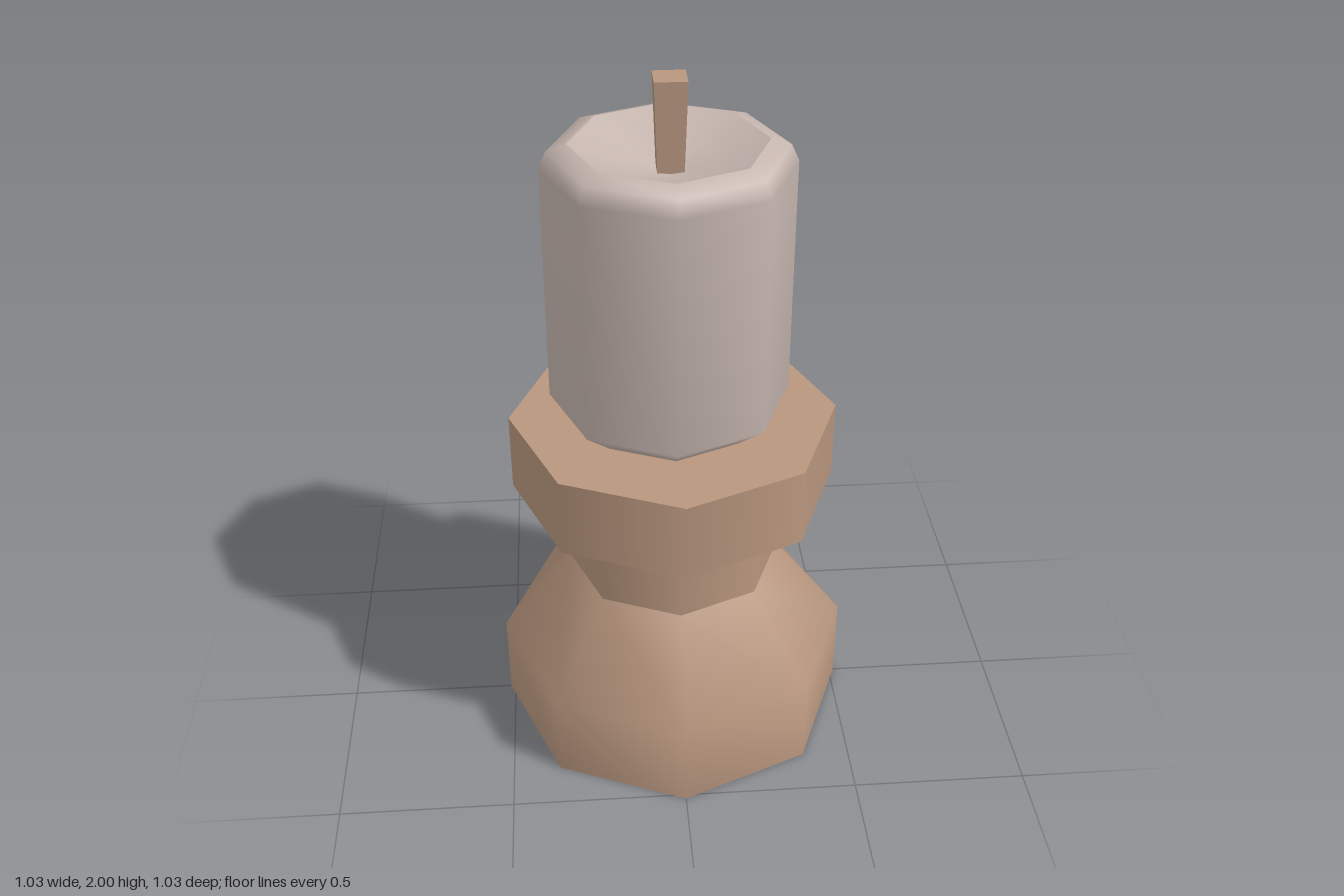
import * as THREE from 'three';
import { mergeGeometries } from 'three/addons/utils/BufferGeometryUtils.js';

const SIDES = 8;

// Octagonal turned part; each profile strip is smooth, with sharp edges between strips
function turned(name, material, strips) {
  const parts = strips.map(strip =>
    new THREE.LatheGeometry(strip.map(([r, y]) => new THREE.Vector2(r, y)), SIDES));
  const mesh = new THREE.Mesh(mergeGeometries(parts), material);
  mesh.name = name;
  return mesh;
}

export function createModel() {
  const wood = new THREE.MeshStandardMaterial({ color: 0xb8967e });
  wood.name = 'wood';
  const wax = new THREE.MeshStandardMaterial({ color: 0xc6b6af });
  wax.name = 'wax';

  const model = new THREE.Group();
  model.name = 'candleAndHolder';

  // Holder: foot with sloping shoulder, neck, and collar
  model.add(turned('foot', wood, [
    [[0, 0], [0.515, 0]],
    [[0.515, 0], [0.515, 0.26], [0.31, 0.52]],
  ]));
  model.add(turned('neck', wood, [[[0.31, 0.52], [0.31, 0.78]]]));
  model.add(turned('collar', wood, [
    [[0.31, 0.78], [0.465, 0.78]],
    [[0.465, 0.78], [0.465, 1.01]],
    [[0.465, 1.01], [0, 1.01]],
  ]));

  // Candle: rounded wax body with a hollow melted top
  const candle = new THREE.Group();
  candle.name = 'candle';
  candle.position.x = -0.01;
  candle.add(turned('waxBody', wax, [
    [[0.25, 1.012], [0.336, 1.085], [0.336, 1.765], [0.315, 1.81], [0.262, 1.828]],
    [[0.262, 1.828], [0.13, 1.775], [0, 1.745]],
  ]));

  // Square wick, slightly wider at the top
  const wickShape = new THREE.BoxGeometry(0.086, 0.27, 0.086);
  const p = wickShape.attributes.position;
  for (let i = 0; i < p.count; i++) {
    if (p.getY(i) < 0) p.setXYZ(i, p.getX(i) * 0.8, p.getY(i), p.getZ(i) * 0.8);
  }
  wickShape.computeVertexNormals();
  const wick = new THREE.Mesh(wickShape, wood);
  wick.name = 'wick';
  wick.position.set(0.002, 1.865, 0);
  candle.add(wick);
  model.add(candle);

  return model;
}
